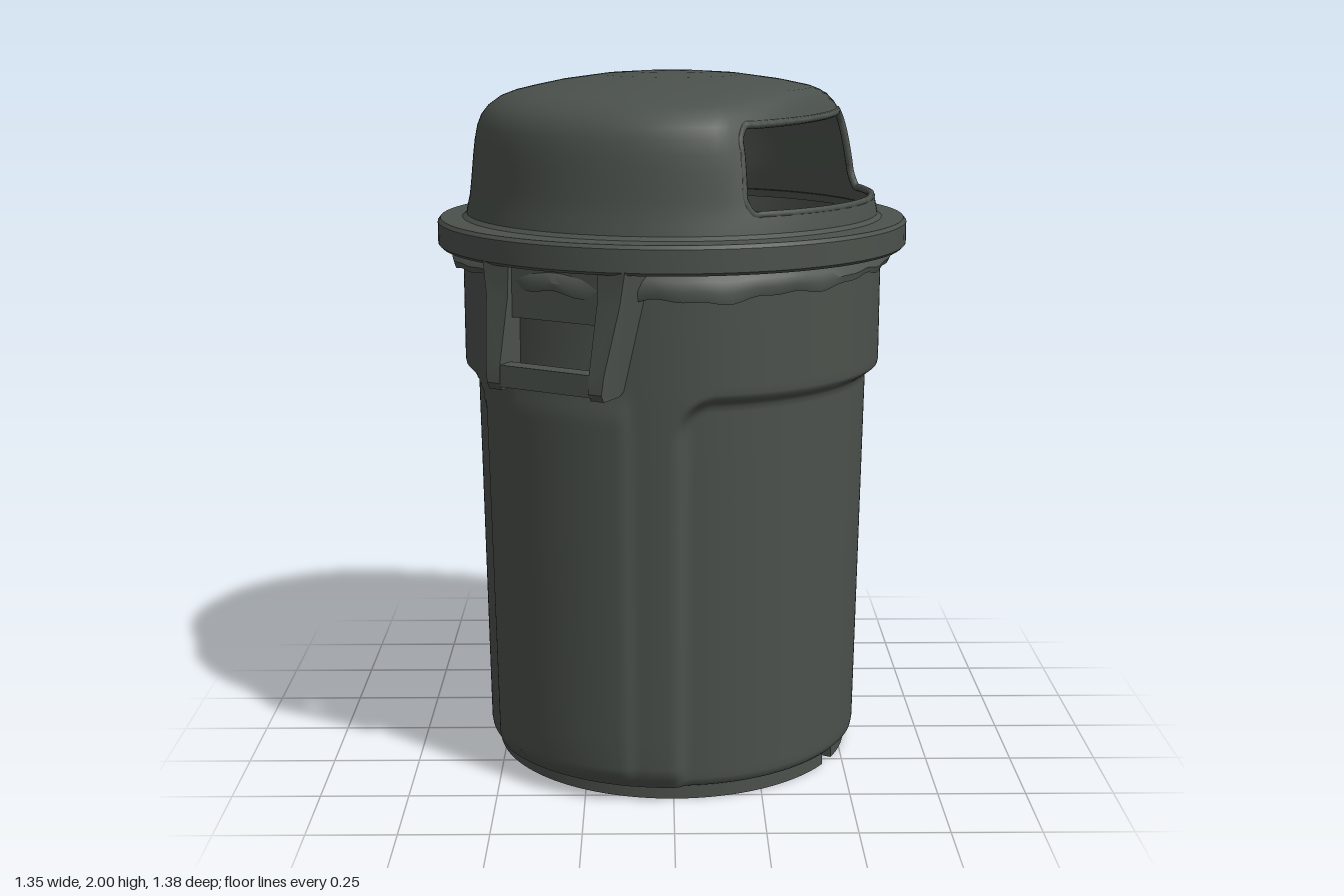
import * as THREE from 'three';
import { toCreasedNormals } from 'three/addons/utils/BufferGeometryUtils.js';

const RAD = Math.PI / 180;
const { smoothstep, lerp, clamp } = THREE.MathUtils;

const plastic = new THREE.MeshStandardMaterial({ color: 0x4b514c, side: THREE.DoubleSide });
plastic.name = 'darkGreyPlastic';

// Ring-shaped surface: point(angle, row) gives [radius, y]; skip(col, row) drops a cell
// or, by returning corner numbers, keeps a single triangle of it.
function ringSurface(cols, rows, point, skip = () => false) {
  const pos = [], idx = [];
  for (let j = 0; j < rows; j++) {
    for (let i = 0; i < cols; i++) {
      const a = (i / cols) * Math.PI * 2;
      const [r, y] = point(a, j);
      pos.push(r * Math.cos(a), y, r * Math.sin(a));
    }
  }
  for (let j = 0; j < rows - 1; j++) {
    for (let i = 0; i < cols; i++) {
      const n = (i + 1) % cols;
      const c = [j * cols + i, (j + 1) * cols + i, (j + 1) * cols + n, j * cols + n];
      const s = skip(i, j);
      if (s === true) continue;
      if (s) idx.push(...s.map(k => c[k]));
      else idx.push(c[0], c[1], c[3], c[1], c[2], c[3]);
    }
  }
  const g = new THREE.BufferGeometry();
  g.setAttribute('position', new THREE.Float32BufferAttribute(pos, 3));
  g.setIndex(idx);
  return g;
}

function mesh(name, geometry, crease = 40) {
  const m = new THREE.Mesh(toCreasedNormals(geometry, crease * RAD), plastic);
  m.name = name;
  return m;
}

// Barrel wall: two wide recessed panels on the x sides, raised pilasters on the z sides
function barrelRadius(a, y) {
  const fromX = Math.acos(Math.abs(Math.cos(a))) / RAD;
  const fromHandle = 90 - fromX;
  const corner = 0.09;
  const qx = fromX * 0.01 - 0.58 + corner, qy = y - 1.16 + corner;
  const sd = Math.hypot(Math.max(qx, 0), Math.max(qy, 0)) + Math.min(Math.max(qx, qy), 0) - corner;
  const recess = 1 - smoothstep(sd, -0.02, 0.015);
  const foot = smoothstep(y, 0.03, 0.1);
  const raised = 0.55 + foot * (0.03 + 0.025 * Math.min(y / 1.17, 1));
  const rib = 0.012 * foot * (1 - smoothstep(fromHandle, 16.5, 20)) * (1 - smoothstep(y, 1.1, 1.2));
  const panel = 0.535 + 0.015 * smoothstep(y, 0.04, 0.06) + 0.018 * (y / 1.15);
  return lerp(raised + rib, panel, recess);
}

function barrel() {
  const ys = [0.045, 0.045, 0.055, 0.07, 0.09, 0.11, 0.2, 0.4, 0.6, 0.8, 1.0, 1.05, 1.07, 1.09,
    1.11, 1.125, 1.14, 1.15, 1.16, 1.17, 1.18, 1.2, 1.35, 1.53];
  return mesh('barrel', ringSurface(240, ys.length,
    (a, j) => [j === 0 ? 0.001 : barrelRadius(a, ys[j]), ys[j]]), 50);
}

// Base ring, split into halves by a groove
function baseHalf(turn) {
  const s = new THREE.Shape();
  s.absarc(0, 0, 0.525, 0.055, Math.PI - 0.055, false);
  s.absarc(0, 0, 0.28, Math.PI - 0.1, 0.1, true);
  const g = new THREE.ExtrudeGeometry(s, { depth: 0.046, bevelEnabled: false, curveSegments: 48 });
  g.rotateX(Math.PI / 2).translate(0, 0.046, 0).rotateY(turn);
  return mesh('baseRing', g);
}

function box(name, w, y0, y1, z0, z1) {
  const g = new THREE.BoxGeometry(w, y1 - y0, z1 - z0);
  g.translate(0, (y0 + y1) / 2, (z0 + z1) / 2);
  return mesh(name, g);
}

// Handle: flared side arms, grip bar and upper plate
function handle() {
  const h = new THREE.Group();
  h.name = 'handle';
  const side = new THREE.Shape([[0.56, 1.52], [0.56, 1.2], [0.6, 1.18], [0.68, 1.18],
    [0.692, 1.2], [0.688, 1.25], [0.645, 1.43], [0.64, 1.52]].map(p => new THREE.Vector2(...p)));
  for (const s of [-1, 1]) {
    const g = new THREE.ExtrudeGeometry(side, { depth: 0.04, bevelEnabled: false });
    g.rotateY(-Math.PI / 2);
    const p = g.attributes.position;
    for (let i = 0; i < p.count; i++) {
      const t = clamp((p.getY(i) - 1.2) / 0.32, 0, 1);
      const back = clamp((0.66 - p.getZ(i)) / 0.1, 0, 1);
      const outer = p.getX(i) < -0.02 ? 0 : 1;
      p.setX(i, s < 0 ? -(0.14 + outer * (0.04 + 0.07 * t * (0.5 + 0.5 * back)))
        : 0.18 - (1 - outer) * 0.04 + outer * 0.07 * t * (0.5 + 0.5 * back));
    }
    if (s < 0) {
      const q = g.index ? g.index.array : null;
      for (let i = 0; i < (q ? q.length : p.count); i += 3) {
        const a = new THREE.Vector3().fromBufferAttribute(p, i + 1);
        const b = new THREE.Vector3().fromBufferAttribute(p, i + 2);
        p.setXYZ(i + 1, b.x, b.y, b.z);
        p.setXYZ(i + 2, a.x, a.y, a.z);
      }
    }
    h.add(mesh('handleArm', g, 30));
  }
  h.add(box('gripBar', 0.3, 1.19, 1.25, 0.635, 0.688));
  h.add(box('upperPlate', 0.3, 1.37, 1.52, 0.56, 0.625));
  return h;
}

// Domed lid with a wide opening; third value is how far the wall leans in at the opening
function dome() {
  const rows = [[0.597, 1.58, 0], [0.59, 1.62, 0], [0.583, 1.65, 0], [0.578, 1.69, 0.012],
    [0.574, 1.73, 0.028], [0.57, 1.77, 0.046], [0.565, 1.81, 0.066], [0.557, 1.85, 0.086],
    [0.545, 1.88, 0.098], [0.525, 1.905, 0.088], [0.49, 1.93, 0.062], [0.45, 1.945, 0.033],
    [0.4, 1.957, 0], [0.32, 1.974, 0], [0.2, 1.991, 0], [0.1, 1.998, 0], [0.001, 2, 0]];
  const half = 18, low = 2, high = 8, cols = 144;
  const point = (a, j) => {
    const d = (a > Math.PI ? a - 2 * Math.PI : a) / RAD;
    return [rows[j][0] - rows[j][2] * Math.max(0, 1 - (d / 51) ** 2), rows[j][1]];
  };
  const skip = (i, j) => {
    const c = i >= cols / 2 ? i - cols : i;
    if (c < -half || c >= half || j < low || j >= high) return false;
    const first = c === -half, last = c === half - 1;
    if (j === low && first) return [0, 1, 3];
    if (j === low && last) return [0, 2, 3];
    if (j === high - 1 && first) return [0, 1, 2];
    if (j === high - 1 && last) return [1, 2, 3];
    return true;
  };
  const g = new THREE.Group();
  g.name = 'lid';
  g.add(mesh('dome', ringSurface(cols, rows.length, point, skip), 50));

  // Rolled edge of the opening
  const edge = [];
  const add = (c, j) => {
    const a = c * 2.5 * RAD, [r, y] = point(a < 0 ? a + 2 * Math.PI : a, j);
    edge.push(new THREE.Vector3(r * Math.cos(a), y, r * Math.sin(a)).multiply(new THREE.Vector3(0.985, 1, 0.985)));
  };
  for (let c = 1 - half; c < half; c++) add(c, low);
  for (let j = low + 1; j < high; j++) add(half, j);
  for (let c = half - 1; c > -half; c--) add(c, high);
  for (let j = high - 1; j > low; j--) add(-half, j);
  const curve = new THREE.CatmullRomCurve3(edge, true);
  g.add(mesh('openingEdge', new THREE.TubeGeometry(curve, 160, 0.011, 8, true), 60));
  g.rotation.y = -26 * RAD;
  return g;
}

function lidRim() {
  const pts = [[0.58, 1.51], [0.668, 1.51], [0.676, 1.518], [0.676, 1.58], [0.668, 1.59], [0.605, 1.592], [0.59, 1.605]];
  return mesh('lidRim', new THREE.LatheGeometry(pts.map(p => new THREE.Vector2(...p)), 96), 30);
}

// Bag edge hanging out below the rim, and the crumpled bag inside
function bagSkirt() {
  return mesh('bagSkirt', ringSurface(180, 4, (a, j) => {
    const bottom = 1.455 + 0.02 * Math.sin(2 * a + 2.6) + 0.006 * Math.sin(13 * a) + 0.004 * Math.sin(29 * a);
    const t = j / 3;
    return [0.609 + 0.03 * Math.sin(t * 2.2) + 0.006 * t * Math.sin(9 * a), lerp(1.515, bottom, t)];
  }));
}

function bagInside() {
  return mesh('bagInside', ringSurface(28, 8, (a, j) => {
    const t = 1 - j / 7;
    const crumple = 0.05 * Math.sin(5 * a + 9 * t) * Math.sin(7 * t + 2 * a) * (1 - t * t);
    return [0.001 + 0.598 * t, 1.46 + 0.06 * t * t + crumple * Math.min(1, t * 3)];
  }), 5);
}

export function createModel() {
  const model = new THREE.Group();
  model.name = 'trashCan';
  const can = new THREE.Group();
  can.name = 'can';
  can.rotation.y = -30 * RAD;
  can.add(barrel(), baseHalf(0), baseHalf(Math.PI), bagSkirt());
  for (const turn of [0, Math.PI]) {
    const h = handle();
    h.rotation.y = turn;
    can.add(h);
  }
  model.add(can, lidRim(), dome(), bagInside());
  return model;
}
